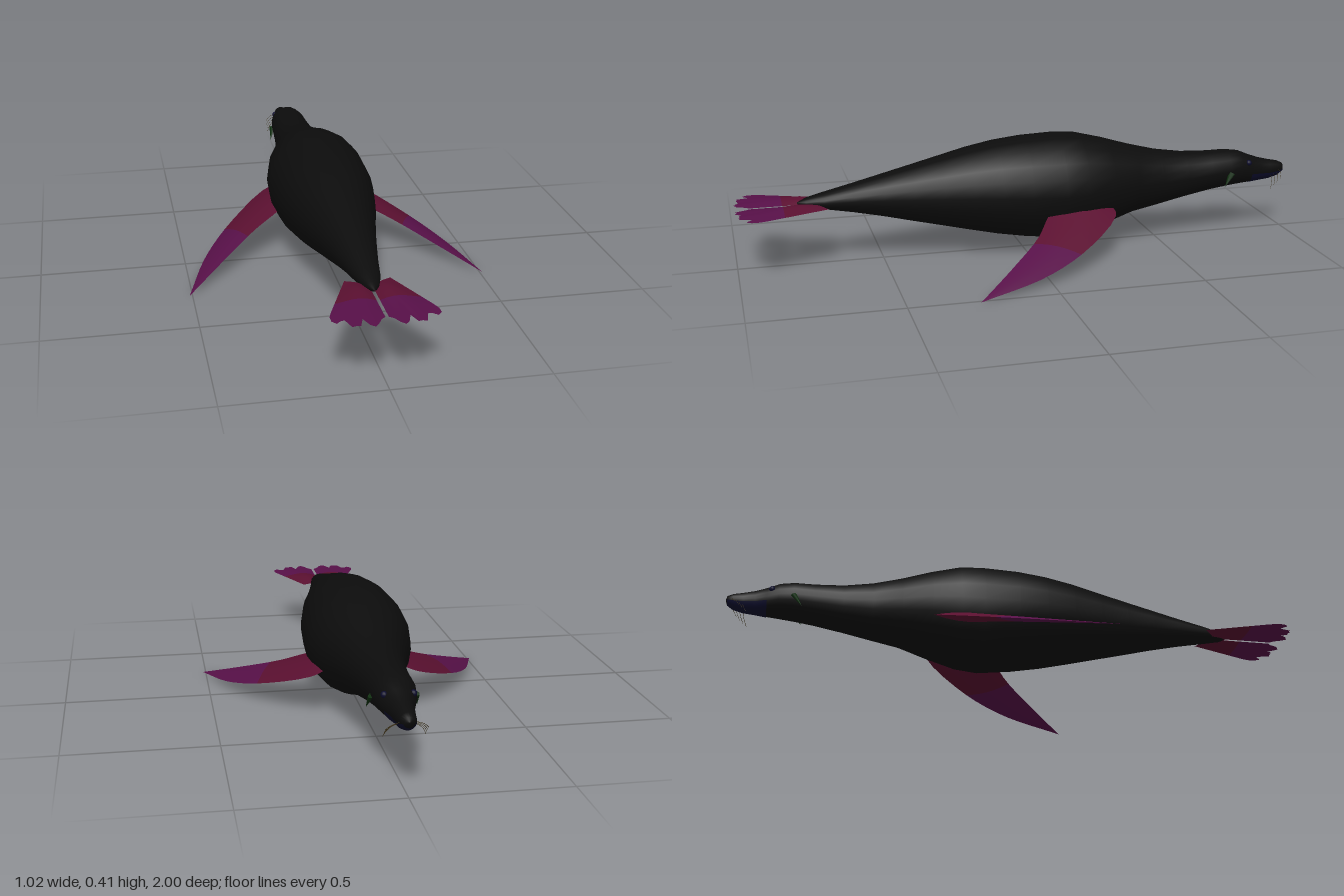
import * as THREE from 'three';
import { mergeVertices, toCreasedNormals } from 'three/addons/utils/BufferGeometryUtils.js';

const paint = (name, color) => {
  const m = new THREE.MeshStandardMaterial({ color, side: THREE.DoubleSide });
  m.name = name;
  return m;
};

// Surface from a rule at(u, v) -> [x, y, z]; mirrored to -x when side is -1
function surface(at, nu, nv, side = 1, v0 = 0, v1 = 1) {
  const pos = [], idx = [], row = nu + 1;
  for (let j = 0; j <= nv; j++) {
    for (let i = 0; i <= nu; i++) {
      const [x, y, z] = at(i / nu, v0 + ((v1 - v0) * j) / nv);
      pos.push(x * side, y, z);
      if (i === nu || j === nv) continue;
      const a = j * row + i, b = a + 1, c = a + row, d = c + 1;
      if (side > 0) idx.push(a, b, c, b, d, c);
      else idx.push(a, c, b, b, c, d);
    }
  }
  const g = new THREE.BufferGeometry();
  g.setAttribute('position', new THREE.Float32BufferAttribute(pos, 3));
  g.setIndex(idx);
  const merged = mergeVertices(g, 1e-5);
  merged.computeVertexNormals();
  return merged;
}

// Body cross-sections: z, top, bottom, half width
const RINGS = [
  [-1, 0.23, 0.226, 0.002], [-0.995, 0.243, 0.212, 0.017], [-0.975, 0.252, 0.198, 0.026],
  [-0.94, 0.259, 0.188, 0.031], [-0.9, 0.269, 0.184, 0.036], [-0.86, 0.283, 0.18, 0.048],
  [-0.82, 0.3, 0.177, 0.061], [-0.77, 0.307, 0.172, 0.069], [-0.7, 0.306, 0.162, 0.073],
  [-0.6, 0.31, 0.143, 0.081], [-0.5, 0.325, 0.122, 0.096], [-0.4, 0.35, 0.103, 0.12],
  [-0.3, 0.38, 0.07, 0.155], [-0.2, 0.405, 0.04, 0.175], [-0.12, 0.41, 0.031, 0.18],
  [0, 0.405, 0.045, 0.175], [0.1, 0.394, 0.062, 0.161], [0.2, 0.375, 0.084, 0.141],
  [0.3, 0.35, 0.107, 0.117], [0.4, 0.325, 0.13, 0.095], [0.5, 0.3, 0.154, 0.075],
  [0.6, 0.275, 0.175, 0.056], [0.7, 0.251, 0.193, 0.04], [0.76, 0.236, 0.203, 0.022],
  [0.79, 0.222, 0.216, 0.003],
];
const onRing = (r, angle, grow = 0) => {
  const [z, top, bottom, w] = RINGS[r];
  return [(w + grow) * Math.cos(angle), (top + bottom) / 2 + ((top - bottom) / 2 + grow) * Math.sin(angle), z];
};

// Fore flipper outlines, root to tip; height falls with x
const drop = (x) => Math.max(0, 0.149 - 0.44 * (x - 0.17));
const edge = (pts) => new THREE.CatmullRomCurve3(pts.map(([x, z]) => new THREE.Vector3(x, drop(x), z)));
const leading = edge([[0.12, -0.285], [0.17, -0.295], [0.32, -0.15], [0.43, 0.03], [0.51, 0.265]]);
const trailing = edge([[0.12, -0.08], [0.17, -0.045], [0.255, 0.01], [0.38, 0.13], [0.51, 0.265]]);
const foreFlipper = (u, v) => {
  const c = u < 0.5 ? 2 * u : 2 - 2 * u;
  const p = leading.getPoint(v).lerp(trailing.getPoint(v), c);
  const h = 0.022 * (1 - v) * Math.sin(2 * Math.PI * u);
  return [p.x, Math.max(0, p.y + h), p.z];
};

// Tail flipper with toes cut into the rear edge, listed from outside to inside
const TOES = [0.95, 0.965, 0.95, 0.945, 0.99, 0.985, 0.987, 0.945, 0.985, 1, 0.985, 0.96, 0.95];
const tailFlipper = (u, v) => {
  const c = u < 0.5 ? 2 * u : 2 - 2 * u;
  const split = 0.84, start = 0.69 + 0.05 * c;
  const end = TOES[Math.round(c * 12)];
  const z = v < 0.5 ? start + (split - start) * 2 * v : split + (end - split) * (2 * v - 1);
  const outer = Math.min(0.163, 0.072 + (z - 0.69) * 0.4);
  const s = Math.sin(2 * Math.PI * u);
  const h = 0.026 * (0.4 + 0.6 * c) * Math.min(1, 0.3 + 3 * v) * (1 - 0.8 * v);
  return [outer + (0.005 - outer) * c, 0.211 + (s > 0 ? h * s : 0.003 * s), z];
};

export function createModel() {
  const model = new THREE.Group();
  model.name = 'seaLion';
  const skin = paint('black skin', 0x0c0c0c);
  const crimson = paint('crimson flipper', 0x5a1030);
  const purple = paint('purple flipper', 0x571048);
  const blue = paint('dark blue', 0x0b0b2c);
  const green = paint('dark green', 0x0a2c0a);
  const tan = paint('whisker brown', 0x40351c);
  const add = (name, geometry, material) => {
    const mesh = new THREE.Mesh(geometry, material);
    mesh.name = name;
    model.add(mesh);
    return mesh;
  };

  // Body and head
  const last = RINGS.length - 1;
  add('body', surface((u, v) => onRing(Math.round(v * last), (u % 1) * 2 * Math.PI), 20, last), skin);

  // Mouth patch laid over the underside of the muzzle
  add('mouth', surface((u, v) => onRing(1 + Math.round(v * 4), Math.PI * (1.08 + 0.84 * u), 0.0015), 12, 4), blue);

  for (const side of [1, -1]) {
    const label = side > 0 ? 'left' : 'right';
    const fin = (name, at, nu, nv, v0, v1, mat) =>
      add(label + name, toCreasedNormals(surface(at, nu, nv, side, v0, v1), 0.7), mat);
    fin('ForeFlipperBase', foreFlipper, 12, 8, 0, 0.55, crimson);
    fin('ForeFlipperTip', foreFlipper, 12, 8, 0.55, 1, purple);
    fin('TailFlipperBase', tailFlipper, 24, 4, 0, 0.5, crimson);
    fin('TailFlipperToes', tailFlipper, 24, 4, 0.5, 1, purple);

    // Eye
    const eye = add(label + 'Eye', new THREE.SphereGeometry(0.011, 12, 8), blue);
    eye.position.set(side * 0.044, 0.262, -0.845);

    // Drooping ear
    const ear = add(label + 'Ear', new THREE.ConeGeometry(0.014, 0.055, 8), green);
    ear.position.set(side * 0.073, 0.212, -0.755);
    ear.scale.z = 0.6;
    ear.quaternion.setFromUnitVectors(
      new THREE.Vector3(0, 1, 0), new THREE.Vector3(side * 0.2, -0.8, 0.5).normalize());

    // Whiskers
    for (let i = 0; i < 4; i++) {
      const y = 0.222 - i * 0.006, z = -0.975 + i * 0.012;
      const curve = new THREE.QuadraticBezierCurve3(
        new THREE.Vector3(side * 0.022, y, z),
        new THREE.Vector3(side * 0.05, y - 0.002, z - 0.005),
        new THREE.Vector3(side * 0.064, y - 0.025 - i * 0.005, z + 0.012));
      add(label + 'Whisker' + (i + 1), new THREE.TubeGeometry(curve, 8, 0.0007, 4), tan);
    }
  }
  return model;
}
